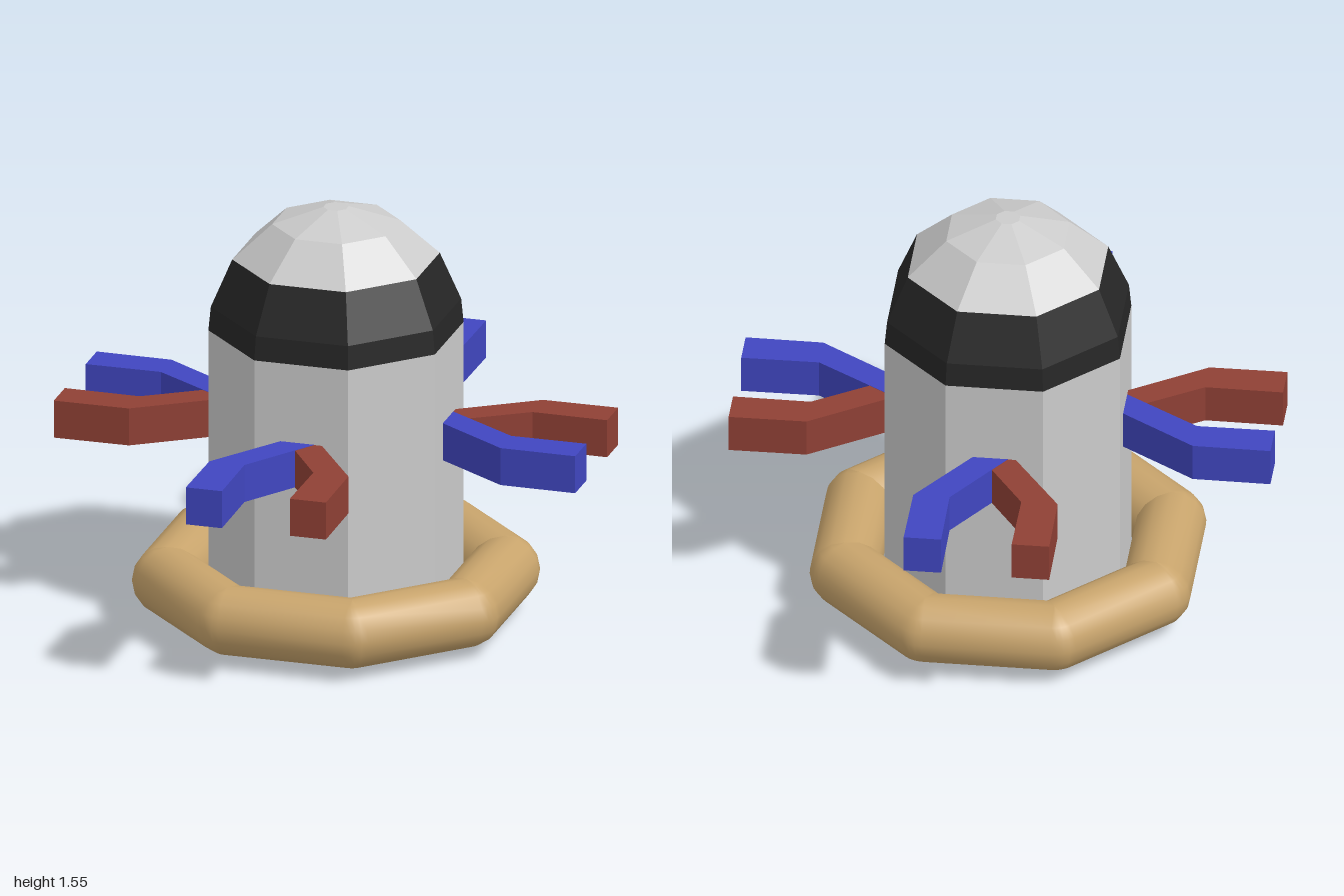
import * as THREE from 'three';

const SIDES = 8;
const mat = (color, flatShading = true) => new THREE.MeshStandardMaterial({ color, flatShading });

function add(parent, name, geometry, material) {
  const mesh = new THREE.Mesh(geometry, material);
  mesh.name = name;
  parent.add(mesh);
  return mesh;
}

// Eight-sided tube ring: rounded on the outside of each corner, mitred on the inside
function ringGeometry(radius, tube, segments) {
  const half = Math.PI / SIDES;
  const bends = [-1, -0.5, 0, 0.5, 1];
  const rows = SIDES * bends.length;
  const positions = [], index = [];
  for (let corner = 0; corner < SIDES; corner++) {
    const angle = corner * 2 * half;
    for (const bend of bends) {
      for (let j = 0; j < segments; j++) {
        const phi = (j / segments) * Math.PI * 2;
        const out = tube * Math.cos(phi);
        const dir = out > 0 ? angle + bend * half : angle;
        const reach = out > 0 ? out : out / Math.cos(half);
        positions.push(
          radius * Math.cos(angle) + reach * Math.cos(dir),
          tube * Math.sin(phi),
          radius * Math.sin(angle) + reach * Math.sin(dir)
        );
      }
    }
  }
  for (let i = 0; i < rows; i++) {
    for (let j = 0; j < segments; j++) {
      const i2 = (i + 1) % rows, j2 = (j + 1) % segments;
      const a = i * segments + j, b = i * segments + j2;
      const c = i2 * segments + j2, d = i2 * segments + j;
      index.push(a, b, c, a, c, d);
    }
  }
  const geometry = new THREE.BufferGeometry();
  geometry.setAttribute('position', new THREE.Float32BufferAttribute(positions, 3));
  geometry.setIndex(index);
  geometry.computeVertexNormals();
  return geometry;
}

// Bent arm running out along +x and swerving to one side in z
function armGeometry(side) {
  const outline = [[0.38, -0.075], [0.38, 0.05], [0.69, 0.258], [0.968, 0.26], [0.968, 0.126], [0.69, 0.128]];
  const shape = new THREE.Shape(outline.map(([x, z]) => new THREE.Vector2(x, z * side)));
  return new THREE.ExtrudeGeometry(shape, { depth: 0.14, bevelEnabled: false }).rotateX(Math.PI / 2);
}

export function createModel() {
  const model = new THREE.Group();
  model.name = 'model';
  const grey = mat(0xcccccc);
  const black = mat(0x262626);

  // Octagonal body, closed underneath
  const R = 0.455, shoulder = 1.095;
  const body = add(model, 'body', new THREE.CylinderGeometry(R, R, shoulder, SIDES), grey);
  body.position.y = shoulder / 2;

  // Faceted dome: black band below, grey cap above
  const step = 24.35;
  const domePoint = (deg) => {
    const a = THREE.MathUtils.degToRad(deg);
    return new THREE.Vector2(R * Math.cos(a), shoulder + R * Math.sin(a));
  };
  const ring = (n) => domePoint(11.25 + n * step);
  add(model, 'domeBand', new THREE.LatheGeometry([domePoint(0), ring(0), ring(1)], SIDES), black);
  const top = ring(3);
  add(model, 'domeCap', new THREE.LatheGeometry([ring(1), ring(2), top, new THREE.Vector2(0, top.y)], SIDES), grey);

  // Ring float around the base
  const float = add(model, 'ringFloat', ringGeometry(0.602, 0.125, 16), mat(0xc8a46c, false));
  float.position.y = 0.155;

  // Four pairs of bent arms, one pair on every second face
  const blue = mat(0x4046c0), red = mat(0x8f4035);
  const blueArm = armGeometry(1), redArm = armGeometry(-1);
  for (let i = 0; i < 4; i++) {
    const pair = new THREE.Group();
    pair.name = 'armPair' + (i + 1);
    pair.rotation.y = Math.PI / 8 + i * Math.PI / 2;
    add(pair, 'blueArm', blueArm, blue).position.y = 0.8;
    add(pair, 'redArm', redArm, red).position.y = 0.799;
    model.add(pair);
  }
  return model;
}
